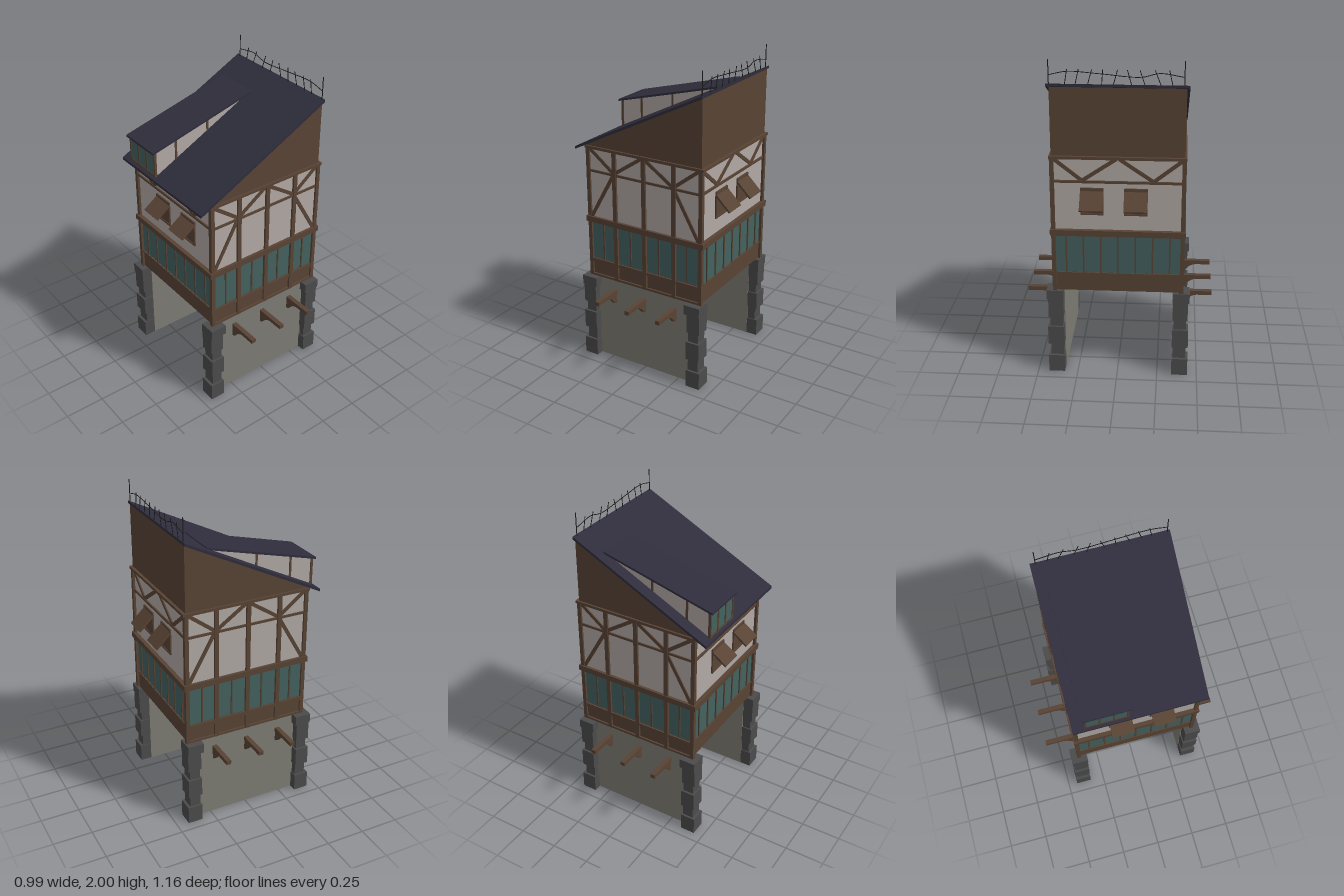
import * as THREE from 'three';

const mat = (name, color) => {
  const m = new THREE.MeshStandardMaterial({ color });
  m.name = name;
  return m;
};

export function createModel() {
  const wood = mat('timber brown', 0x584334);
  const plaster = mat('plaster', 0xb0a8a3);
  const glass = mat('teal glass', 0x43615e);
  const stone = mat('wall stone', 0x7c7b73);
  const quoin = mat('dark corner stone', 0x4b4b4c);
  const slate = mat('slate roof', 0x2f2d3c);
  const iron = mat('iron', 0x1d1c1c);

  const root = new THREE.Group();
  const group = (name, parent, x = 0, y = 0, z = 0) => {
    const g = new THREE.Group();
    g.name = name;
    g.position.set(x, y, z);
    parent.add(g);
    return g;
  };
  // box given by its limits on each axis
  const box = (name, parent, m, x0, x1, y0, y1, z0, z1) => {
    const b = new THREE.Mesh(new THREE.BoxGeometry(x1 - x0, y1 - y0, z1 - z0), m);
    b.name = name;
    b.position.set((x0 + x1) / 2, (y0 + y1) / 2, (z0 + z1) / 2);
    parent.add(b);
    return b;
  };
  // timber laid from one point to another on a wall facing +z
  const bar = (name, parent, m, x0, y0, x1, y1, w, z0, z1) => {
    const b = new THREE.Mesh(new THREE.BoxGeometry(Math.hypot(x1 - x0, y1 - y0), w, z1 - z0), m);
    b.name = name;
    b.position.set((x0 + x1) / 2, (y0 + y1) / 2, (z0 + z1) / 2);
    b.rotation.z = Math.atan2(y1 - y0, x1 - x0);
    parent.add(b);
    return b;
  };
  // outline in x and y, extruded along z
  const prism = (name, parent, m, pts, z0, z1) => {
    const shape = new THREE.Shape(pts.map(p => new THREE.Vector2(p[0], p[1])));
    const p = new THREE.Mesh(new THREE.ExtrudeGeometry(shape, { depth: z1 - z0, bevelEnabled: false, curveSegments: 8 }), m);
    p.name = name;
    p.position.z = z0;
    parent.add(p);
    return p;
  };

  // stone base: two walls and four stacked corner pillars
  const base = group('stoneBase', root, -0.007, 0, -0.005);
  const courses = [ // bottom, top, outer x, inner x, outer z, inner z
    [0, 0.113, 0.433, 0.338, 0.436, 0.336],
    [0.113, 0.193, 0.415, 0.345, 0.422, 0.342],
    [0.193, 0.315, 0.428, 0.338, 0.436, 0.336],
    [0.315, 0.38, 0.415, 0.345, 0.422, 0.344],
    [0.38, 0.505, 0.428, 0.34, 0.43, 0.338],
    [0.505, 0.567, 0.43, 0.325, 0.439, 0.336]
  ];
  for (const sz of [-1, 1]) {
    box('stoneWall', base, stone, -0.36, 0.36, 0, 0.57, sz > 0 ? 0.335 : -0.385, sz > 0 ? 0.385 : -0.335);
    for (const sx of [-1, 1]) {
      const pillar = group('cornerPillar', base);
      for (const [y0, y1, xo, xi, zo, zi] of courses) {
        box('pillarStone', pillar, quoin, Math.min(sx * xo, sx * xi), Math.max(sx * xo, sx * xi),
          y0, y1, Math.min(sz * zo, sz * zi), Math.max(sz * zo, sz * zi));
      }
    }
  }

  // house body
  const house = group('houseBody', root, 0.005, 0, -0.005);
  box('woodenBand', house, wood, -0.395, 0.395, 0.567, 0.69, -0.388, 0.388);
  box('windowBand', house, glass, -0.393, 0.393, 0.69, 0.945, -0.386, 0.386);
  box('plasterStorey', house, plaster, -0.395, 0.395, 0.945, 1.43, -0.388, 0.388);
  box('middleBelt', house, wood, -0.421, 0.421, 0.938, 0.975, -0.406, 0.406);
  box('topBelt', house, wood, -0.415, 0.418, 1.42, 1.437, -0.402, 0.402);
  for (const sx of [-1, 1]) for (const sz of [-1, 1]) {
    box('cornerPost', house, wood, sx * 0.3975 - 0.0125, sx * 0.3975 + 0.0125, 0.567, 1.43,
      sz * 0.387 - 0.0125, sz * 0.387 + 0.0125);
  }

  // framing of the front and back
  for (const side of [0, 1]) {
    const f = group(side ? 'backFraming' : 'frontFraming', house);
    f.rotation.y = side * Math.PI;
    for (const x of [-0.205, 0.005, 0.215]) bar('post', f, wood, x, 0.567, x, 1.42, 0.027, 0.38, 0.401);
    for (const x of [-0.3, -0.1, 0.105, 0.305]) bar('mullion', f, wood, x, 0.69, x, 0.94, 0.009, 0.38, 0.393);
    bar('sill', f, wood, -0.39, 0.675, 0.39, 0.675, 0.024, 0.38, 0.398);
    bar('footBeam', f, wood, -0.4, 0.574, 0.4, 0.574, 0.014, 0.38, 0.399);
    bar('rail', f, wood, -0.39, 1.278, 0.39, 1.278, 0.015, 0.38, 0.396);
    for (const s of [-1, 1]) {
      bar('longBrace', f, wood, s * 0.385, 0.975, s * 0.215, 1.275, 0.022, 0.38, 0.395);
      bar('outerBrace', f, wood, s * 0.385, 1.42, s * 0.21, 1.285, 0.022, 0.38, 0.395);
      bar('innerBrace', f, wood, s * 0.01, 1.42, s * 0.21, 1.285, 0.022, 0.38, 0.395);
    }
  }

  // framing, shutters and awnings of the two sides
  for (const s of [-1, 1]) {
    const f = group(s > 0 ? 'leftFraming' : 'rightFraming', house);
    f.rotation.y = s * Math.PI / 2;
    for (let i = -3; i <= 3; i++) bar('mullion', f, wood, i * 0.104, 0.69, i * 0.104, 0.94, 0.009, 0.385, 0.4);
    bar('sill', f, wood, -0.385, 0.682, 0.385, 0.682, 0.014, 0.385, 0.402);
    bar('rail', f, wood, -0.385, 1.278, 0.385, 1.278, 0.015, 0.385, 0.405);
    for (const m of [-1, 1]) {
      bar('outerBrace', f, wood, m * 0.38, 1.42, m * 0.21, 1.285, 0.022, 0.385, 0.403);
      bar('innerBrace', f, wood, m * 0.01, 1.42, m * 0.21, 1.285, 0.022, 0.385, 0.403);
    }
    for (const z of [-0.107, 0.153]) {
      const w = group('shutteredWindow', f, -s * z);
      box('shutter', w, wood, -0.062, 0.062, 1.075, 1.235, 0.38, 0.399);
      for (const e of [-1, 1]) {
        bar('frameSide', w, wood, e * 0.064, 1.07, e * 0.064, 1.24, 0.01, 0.38, 0.404);
        bar('frameEdge', w, wood, -0.069, 1.155 + e * 0.08, 0.069, 1.155 + e * 0.08, 0.01, 0.38, 0.404);
      }
      // hinged flap leaning outwards
      const drop = s > 0 ? 0.09 : 0.065;
      const flap = box('awning', w, wood, -0.069, 0.069, -0.006, 0.006, 0, Math.hypot(0.092, drop));
      const hinge = group('awningHinge', w, 0, 1.217, 0.4);
      hinge.rotation.x = Math.atan2(drop, 0.092);
      hinge.add(flap);
    }
  }

  // beams sticking out of the stone walls, on curved brackets
  const curve = [[0.38, 0.405], [0.4, 0.407], [0.42, 0.43], [0.442, 0.453], [0.468, 0.466], [0.5, 0.471], [0.38, 0.471]];
  for (const side of [0, 1]) for (const x of [-0.222, 0, 0.222]) {
    const b = group('projectingBeam', root, -0.003, 0, -0.003);
    b.rotation.y = side * Math.PI;
    box('beam', b, wood, x - 0.015, x + 0.015, 0.47, 0.496, 0.37, 0.58);
    const br = prism('bracket', b, wood, curve, -0.013, 0.013);
    br.rotation.y = -Math.PI / 2;
    br.position.set(x + 0.013, 0, 0);
  }

  // gable and single-pitch roof
  const roof = group('roof', root, 0, 0, -0.005);
  const slope = x => 1.418 + 0.5 * (x + 0.48);
  const under = x => slope(x) - 0.017;
  prism('gable', roof, wood, [[-0.41, 1.43], [0.405, 1.43], [0.405, under(0.405) + 0.004], [-0.41, under(-0.41) + 0.004]], -0.39, 0.39);
  prism('roofSlab', roof, slate, [[-0.48, under(-0.48)], [0.41, under(0.41)], [0.41, slope(0.41)], [-0.48, slope(-0.48)]], -0.407, 0.407);

  // dormer facing the low side
  const dormer = group('dormer', root);
  const lid = x => 1.601 + 0.257 * (x + 0.48);
  prism('dormerBody', dormer, plaster, [[-0.458, slope(-0.458) - 0.01], [0.22, slope(0.22) - 0.01], [0.22, lid(0.22) - 0.008], [-0.458, lid(-0.458) - 0.008]], -0.335, -0.08);
  prism('dormerRoof', dormer, slate, [[-0.48, lid(-0.48) - 0.013], [0.245, lid(0.245) - 0.013], [0.245, lid(0.245)], [-0.48, lid(-0.48)]], -0.35, -0.065);
  box('dormerGlass', dormer, glass, -0.462, -0.456, 1.435, 1.592, -0.33, -0.085);
  for (const z of [-0.334, -0.25, -0.165, -0.081]) box('dormerPost', dormer, wood, -0.466, -0.45, 1.42, 1.594, z - 0.006, z + 0.006);
  for (const y of [1.434, 1.588]) box('dormerRail', dormer, wood, -0.465, -0.452, y - 0.007, y + 0.007, -0.338, -0.077);
  for (const x of [-0.31, -0.08]) for (const z of [-0.335, -0.08]) {
    box('dormerStud', dormer, wood, x - 0.007, x + 0.007, slope(x) - 0.01, lid(x) - 0.01, z - 0.004, z + 0.004);
  }

  // crooked iron cresting along the ridge
  const crest = group('ironCresting', root, 0.402);
  const rod = (name, z0, y0, z1, y1, r) => {
    const m = new THREE.Mesh(new THREE.CylinderGeometry(r, r, Math.hypot(z1 - z0, y1 - y0), 5), iron);
    m.name = name;
    m.position.set(0, (y0 + y1) / 2, (z0 + z1) / 2);
    m.rotation.x = Math.atan2(z1 - z0, y1 - y0);
    crest.add(m);
  };
  for (const z of [-0.38, 0.385]) rod('cornerSpike', z, 1.85, z, 2, 0.003);
  for (const [a, b] of [[0.295, 0.28], [0.165, 0.14], [0.085, 0.078], [0.02, -0.005], [-0.085, -0.06],
    [-0.16, -0.13], [-0.25, -0.215], [-0.315, -0.295], [0.235, 0.215]]) rod('spike', a, 1.855, b, 1.945, 0.0025);
  const wire = new THREE.CatmullRomCurve3([[0.385, 1.912], [0.28, 1.933], [0.1, 1.922], [-0.14, 1.905], [-0.24, 1.928], [-0.38, 1.908]]
    .map(([z, y]) => new THREE.Vector3(0, y, z)));
  const strand = new THREE.Mesh(new THREE.TubeGeometry(wire, 30, 0.0025, 5), iron);
  strand.name = 'wire';
  crest.add(strand);

  return root;
}
